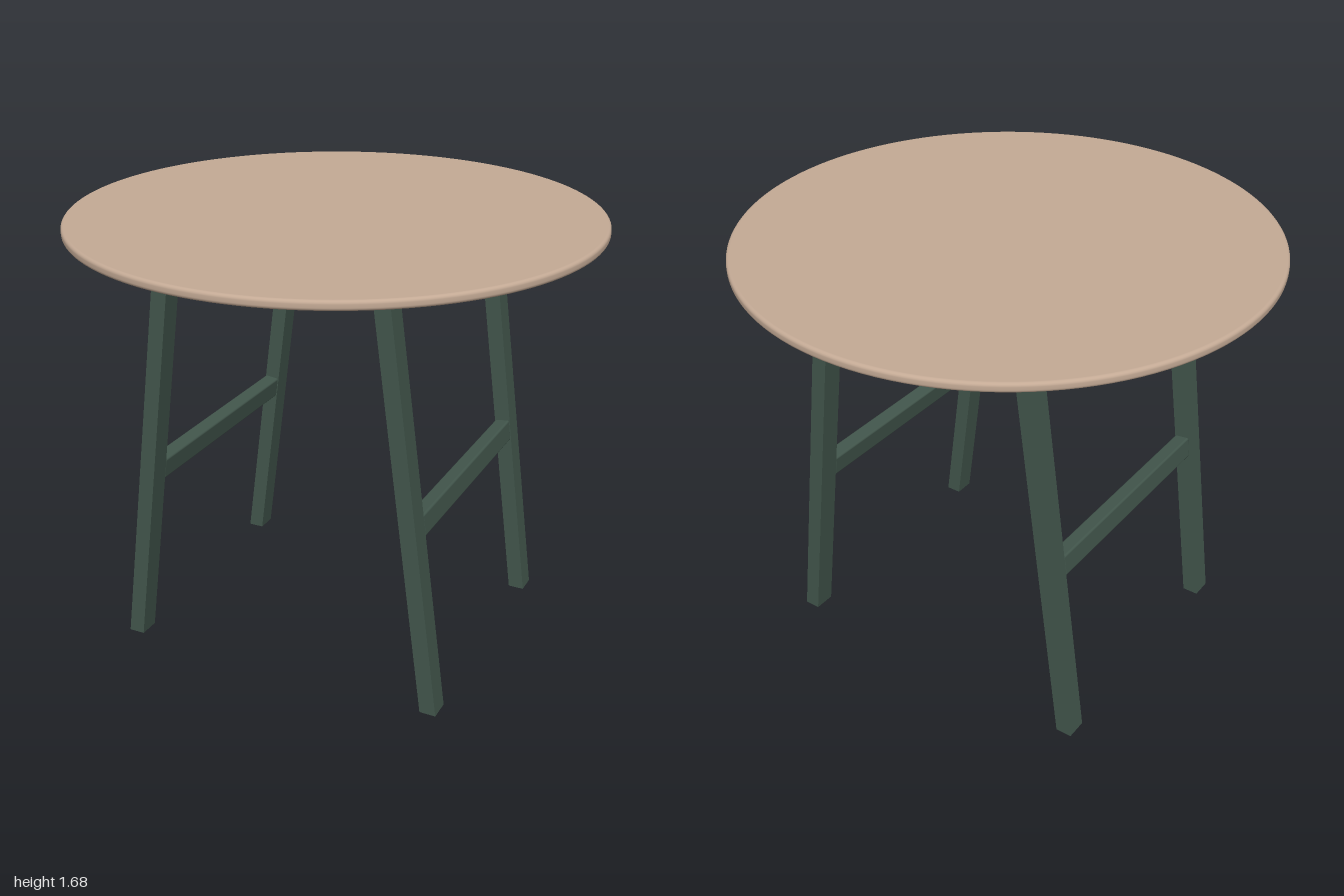
import * as THREE from 'three';
import { RoundedBoxGeometry } from 'three/addons/geometries/RoundedBoxGeometry.js';

const TOP_Y = 1.685, UNDER_Y = 1.65, BAR_Y = 1.6;
const SLOPE = 0.133; // inward lean of the legs per unit of height
const FOOT_OUT = 0.667, FOOT_IN = 0.604;
const LEG_DEPTH = 0.083, FRAME_Z = 0.498;

const wood = new THREE.MeshStandardMaterial({ color: 0xc4aa95 });
const paint = new THREE.MeshStandardMaterial({ color: 0x42564c });

function addMesh(group, name, geometry, material) {
  const mesh = new THREE.Mesh(geometry, material);
  mesh.name = name;
  group.add(mesh);
  return mesh;
}

// Round top with softly rounded rim
function tabletopGeometry() {
  const r = 0.012, profile = [new THREE.Vector2(0, UNDER_Y), new THREE.Vector2(1 - r - 0.002, UNDER_Y)];
  const corner = (cy, start) => {
    for (let i = 0; i <= 4; i++) {
      const a = start + (i / 4) * Math.PI / 2;
      profile.push(new THREE.Vector2(1 - r + r * Math.cos(a), cy + r * Math.sin(a)));
    }
  };
  corner(UNDER_Y + r, -Math.PI / 2);
  corner(TOP_Y - r, 0);
  profile.push(new THREE.Vector2(1 - r - 0.002, TOP_Y), new THREE.Vector2(0, TOP_Y));
  return new THREE.LatheGeometry(profile, 128);
}

// Two splayed legs joined by a top rail, cut from one outline
function trestleGeometry() {
  const outTop = FOOT_OUT - SLOPE * UNDER_Y, inTop = FOOT_IN - SLOPE * BAR_Y;
  const right = [[FOOT_IN, 0], [FOOT_OUT, 0], [outTop, UNDER_Y]];
  const outline = [
    ...right,
    [-outTop, UNDER_Y], [-FOOT_OUT, 0], [-FOOT_IN, 0],
    [-inTop, BAR_Y], [inTop, BAR_Y],
  ];
  const shape = new THREE.Shape(outline.map(([x, y]) => new THREE.Vector2(x, y)));
  const geometry = new THREE.ExtrudeGeometry(shape, { depth: LEG_DEPTH, bevelEnabled: false });
  return geometry.translate(0, 0, -LEG_DEPTH / 2);
}

export function createModel() {
  const table = new THREE.Group();
  table.name = 'roundTable';

  addMesh(table, 'tabletop', tabletopGeometry(), wood);

  const trestle = trestleGeometry();
  for (const [name, side] of [['frontTrestle', 1], ['backTrestle', -1]]) {
    addMesh(table, name, trestle, paint).position.z = side * FRAME_Z;
  }

  // Stretchers between the trestles, tilted to follow the legs
  const y = 0.725;
  const length = 2 * FRAME_Z - LEG_DEPTH + 0.004;
  const stretcher = new RoundedBoxGeometry(0.06, 0.085, length, 3, 0.008);
  for (const [name, side] of [['leftStretcher', 1], ['rightStretcher', -1]]) {
    const bar = addMesh(table, name, stretcher, paint);
    bar.position.set(side * ((FOOT_OUT + FOOT_IN) / 2 - SLOPE * y), y, 0);
    bar.rotation.z = side * Math.atan(SLOPE);
  }

  return table;
}
